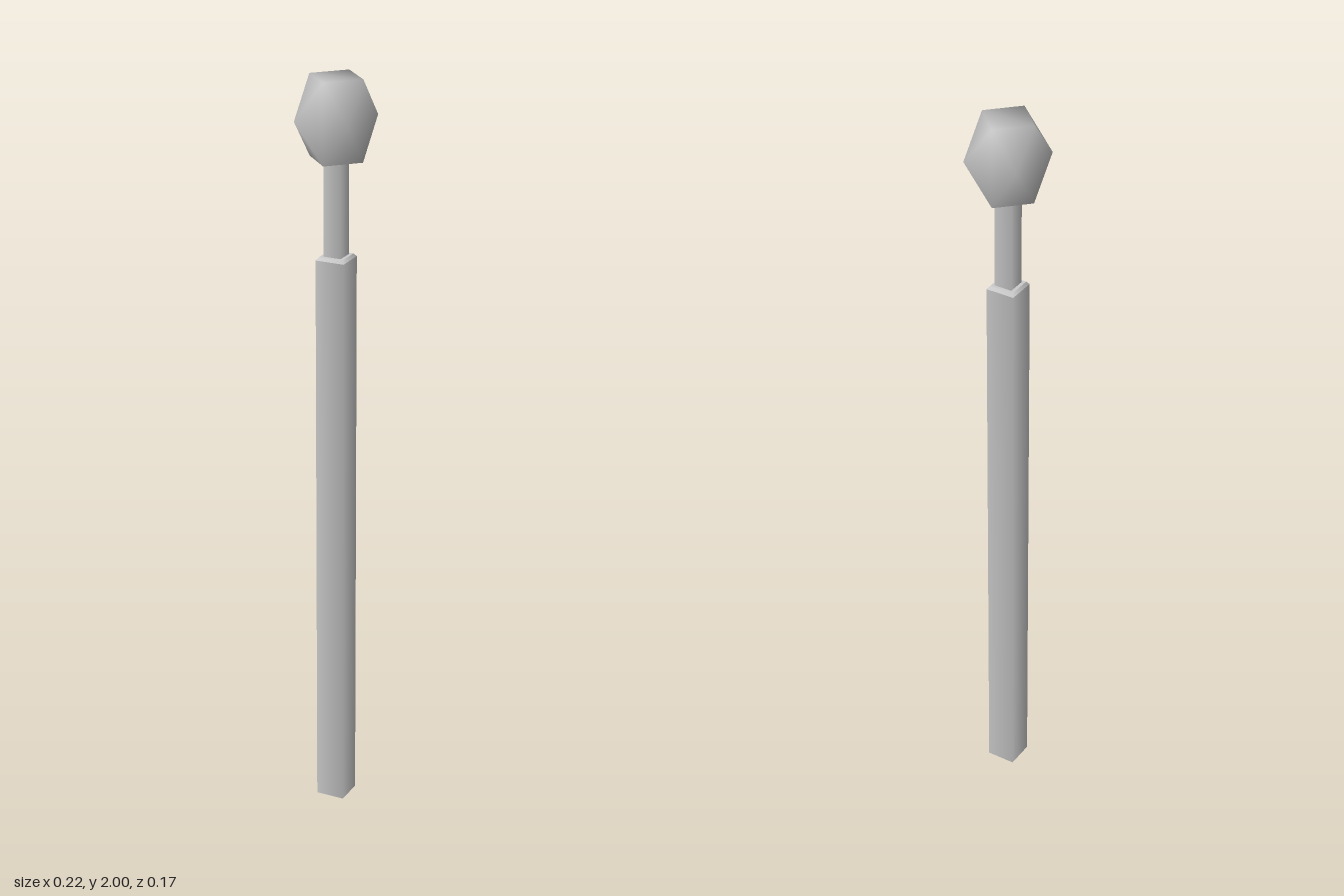
import * as THREE from 'three';
import { ConvexGeometry } from 'three/addons/geometries/ConvexGeometry.js';
import { mergeVertices } from 'three/addons/utils/BufferGeometryUtils.js';

const material = new THREE.MeshStandardMaterial({ color: 0xcccccc });

// Four-sided rod with smooth sides, corners on the x and z axes
function rod(name, topRadius, bottomRadius, y0, y1) {
  const geometry = new THREE.CylinderGeometry(topRadius, bottomRadius, y1 - y0, 4);
  geometry.translate(0, (y0 + y1) / 2, 0);
  const mesh = new THREE.Mesh(geometry, material);
  mesh.name = name;
  return mesh;
}

// Faceted head: square ends joined to a wider diamond around the middle
function head() {
  const end = 0.052, halfHeight = 0.105;
  const points = [];
  for (const s of [-1, 1]) {
    points.push(new THREE.Vector3(s * 0.11, 0, 0), new THREE.Vector3(0, 0, s * 0.087));
    for (const x of [-end, end]) {
      for (const z of [-end, end]) points.push(new THREE.Vector3(x, s * halfHeight, z));
    }
  }
  let geometry = new ConvexGeometry(points);
  geometry.deleteAttribute('normal');
  geometry = mergeVertices(geometry);
  geometry.computeVertexNormals();
  const mesh = new THREE.Mesh(geometry, material);
  mesh.name = 'head';
  mesh.position.y = 2 - halfHeight;
  return mesh;
}

export function createModel() {
  const group = new THREE.Group();
  group.name = 'stick';
  group.add(
    rod('shaft', 0.055, 0.055, 0, 1.532),
    rod('shaftRim', 0.046, 0.055, 1.532, 1.54),
    rod('neck', 0.034, 0.034, 1.53, 1.8),
    head()
  );
  return group;
}
